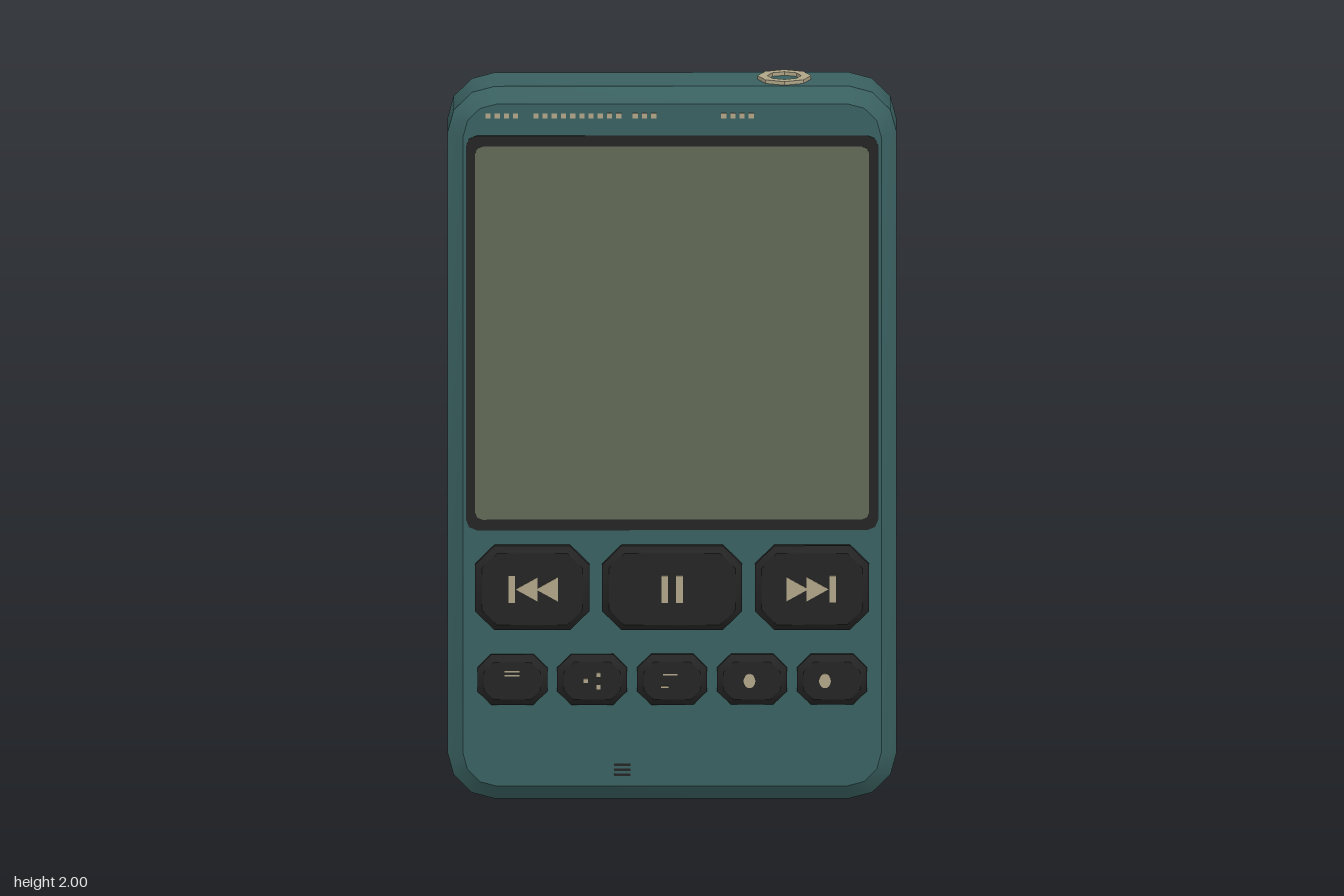
import * as THREE from 'three';
import { toCreasedNormals } from 'three/addons/utils/BufferGeometryUtils.js';

const mat = (name, color) => Object.assign(new THREE.MeshStandardMaterial({ color }), { name });

// Rounded or chamfered rectangle; steps = segments per corner
function roundedRect(w, h, r, steps = 3) {
  const pts = [];
  const corners = [[1, 1], [-1, 1], [-1, -1], [1, -1]];
  corners.forEach(([sx, sy], i) => {
    for (let k = 0; k <= steps; k++) {
      const a = (i + k / steps) * Math.PI / 2;
      pts.push(new THREE.Vector2(sx * (w / 2 - r) + r * Math.cos(a), sy * (h / 2 - r) + r * Math.sin(a)));
    }
  });
  return new THREE.Shape(pts);
}

// Rounded slab with bevels on both faces, spanning z0..z1
function slab(w, h, r, z0, z1, bevel, lip, steps) {
  const geo = new THREE.ExtrudeGeometry(roundedRect(w - 2 * bevel, h - 2 * bevel, r - bevel, steps), {
    depth: z1 - z0 - 2 * lip, bevelEnabled: true, bevelSize: bevel, bevelThickness: lip, bevelSegments: 1,
  });
  geo.translate(0, 0, z0 + lip);
  return toCreasedNormals(geo, 0.6);
}

const plate = (shape, depth) => new THREE.ExtrudeGeometry(shape, { depth, bevelEnabled: false });

export function createModel() {
  const model = new THREE.Group();
  model.name = 'musicPlayer';
  const teal = mat('tealShell', 0x3a6060);
  const black = mat('blackPlastic', 0x242424);
  const screenGreen = mat('screenGreen', 0x606855);
  const cream = mat('creamPrint', 0xb0a588);

  const add = (name, geo, material, x = 0, y = 0, z = 0) => {
    const mesh = new THREE.Mesh(geo, material);
    mesh.name = name;
    mesh.position.set(x, y, z);
    model.add(mesh);
    return mesh;
  };
  const FRONT = 0.1, BACK = -0.13;

  // Shell
  add('shell', slab(1.22, 1.986, 0.135, BACK, FRONT, 0.042, 0.032, 3), teal, 0, 0.997);

  // Screen
  add('screenBezel', plate(roundedRect(1.12, 1.1, 0.03, 2), 0.003), black, 0, 1.31, FRONT);
  add('screen', plate(roundedRect(1.07, 1.04, 0.02, 2), 0.005), screenGreen, 0, 1.31, FRONT);

  // Playback and function buttons
  const button = (name, x, y, w, h, top, chamfer) =>
    add(name, slab(w, h, chamfer, FRONT - 0.03, top, 0.018, 0.014, 1), black, x, y);
  button('previousButton', -0.38, 0.602, 0.31, 0.235, 0.13, 0.06);
  button('pauseButton', 0, 0.602, 0.38, 0.235, 0.13, 0.06);
  button('nextButton', 0.38, 0.602, 0.31, 0.235, 0.13, 0.06);
  for (let i = -2; i <= 2; i++) button('functionButton', i * 0.217, 0.345, 0.19, 0.14, 0.124, 0.045);

  // Button symbols
  const bar = (name, x, y, w, h, z, material = cream) =>
    add(name, new THREE.BoxGeometry(w, h, 0.003), material, x, y, z + 0.001);
  const triangle = (dir, x) => {
    const pts = [[-0.03 * dir, -0.034], [0.03 * dir, 0], [-0.03 * dir, 0.034]];
    if (dir < 0) pts.reverse();
    add('skipArrow', plate(new THREE.Shape(pts.map(p => new THREE.Vector2(...p))), 0.003), cream, x, 0.602, 0.13);
  };
  for (const dir of [-1, 1]) {
    bar('pauseBar', dir * 0.02, 0.602, 0.018, 0.075, 0.13);
    bar('skipBar', dir * 0.436, 0.602, 0.018, 0.075, 0.13);
    triangle(dir, dir * 0.395);
    triangle(dir, dir * 0.34);
  }
  for (const y of [0.36, 0.371]) bar('menuLine', -0.435, y, 0.04, 0.004, 0.124);
  for (const [x, y] of [[-0.235, 0.345], [-0.2, 0.362], [-0.2, 0.328]]) bar('shareDot', x, y, 0.012, 0.012, 0.124);
  bar('listLine', -0.005, 0.362, 0.04, 0.004, 0.124);
  bar('listLine', -0.02, 0.328, 0.02, 0.004, 0.124);
  for (const x of [0.21, 0.415]) {
    add('functionDot', plate(new THREE.Shape().absellipse(0, 0, 0.016, 0.02, 0, Math.PI * 2), 0.003), cream, x, 0.345, 0.124);
  }

  // Printed dashes above the screen
  const dashes = [[-0.5, 4], [-0.37, 10], [-0.1, 3], [0.14, 4]];
  for (const [x, n] of dashes) {
    for (let i = 0; i < n; i++) bar('printedDash', x + i * 0.025, 1.915, 0.014, 0.014, FRONT);
  }

  // Microphone slits near the bottom
  for (const y of [0.078, 0.092, 0.106]) bar('microphoneSlit', -0.135, y, 0.045, 0.006, FRONT, black);

  // Headphone socket ring on the top
  const octagon = r => Array.from({ length: 8 }, (_, i) =>
    new THREE.Vector2(r * Math.cos(i * Math.PI / 4), r * Math.sin(i * Math.PI / 4)));
  const ring = new THREE.Shape(octagon(0.073));
  ring.holes.push(new THREE.Path(octagon(0.046)));
  add('headphoneRing', plate(ring, 0.015), cream, 0.305, 1.985, -0.015).rotation.x = -Math.PI / 2;

  // Charging port on the underside
  add('chargingPort', new THREE.BoxGeometry(0.17, 0.008, 0.05), black, 0, 0.004, -0.015);

  // Label on the back
  add('backLabel', plate(roundedRect(0.85, 0.48, 0.02, 2), 0.004), cream, 0, 1.61, BACK - 0.003);

  return model;
}
